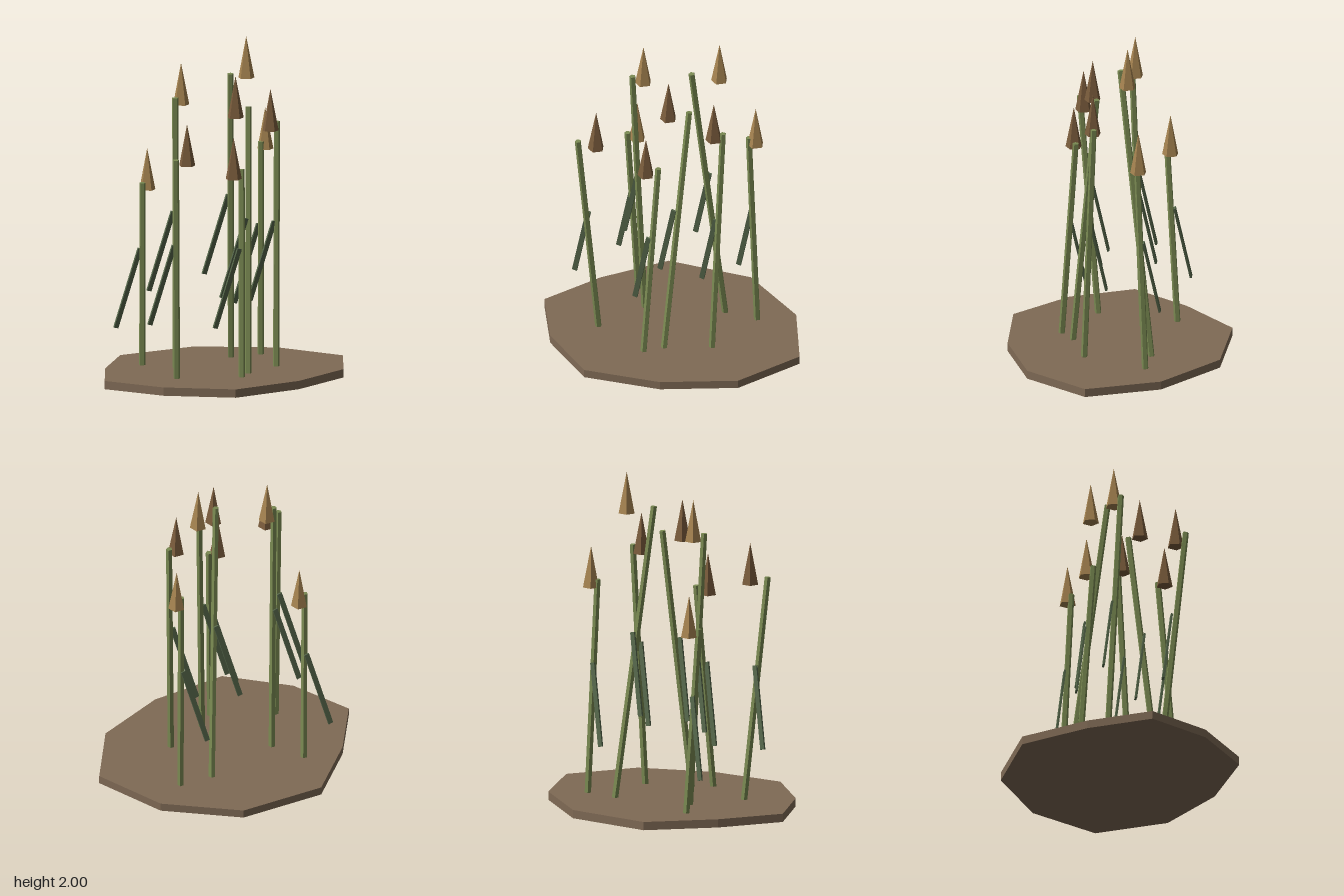
import * as THREE from 'three';

const flat = (name, color) => {
  const m = new THREE.MeshStandardMaterial({ color, flatShading: true });
  m.name = name;
  return m;
};

export function createModel() {
  const earth = flat('earth brown', 0x7f6a55);
  const stemGreen = flat('stem green', 0x7a8a52);
  const leafGreen = flat('leaf green', 0x55664a);
  const tan = flat('tan seed', 0xa58350);
  const brown = flat('brown seed', 0x7a5c3c);

  const model = new THREE.Group();
  model.name = 'reedPatch';
  const add = (parent, geometry, material, name) => {
    const mesh = new THREE.Mesh(geometry, material);
    mesh.name = name;
    parent.add(mesh);
    return mesh;
  };

  // Irregular ten-sided slab of ground, outline as x, z
  const outline = [
    [-0.82, 0.03], [-0.63, 0.39], [-0.295, 0.665], [0.17, 0.615], [0.59, 0.42],
    [0.82, 0.03], [0.62, -0.39], [0.21, -0.67], [-0.31, -0.65], [-0.61, -0.32],
  ];
  const shape = new THREE.Shape(outline.map(([x, z]) => new THREE.Vector2(x, -z)));
  const slab = new THREE.ExtrudeGeometry(shape, { depth: 0.05, bevelEnabled: false });
  slab.rotateX(-Math.PI / 2);
  add(model, slab, earth, 'ground');

  // Each reed: stem base x, z; stem top x, y, z; seed head x, z; head colour
  const reeds = [
    [-0.41, 0.175, -0.49, 1.39, 0.30, -0.39, 0.26, brown],
    [-0.36, -0.31, -0.40, 1.16, -0.24, -0.35, -0.27, tan],
    [-0.24, -0.125, -0.288, 1.69, -0.05, -0.23, -0.08, tan],
    [-0.055, 0.33, 0.0, 1.28, 0.235, -0.07, 0.26, brown],
    [0.04, 0.245, 0.135, 1.62, 0.085, 0.02, 0.13, brown],
    [0.22, -0.26, 0.092, 1.80, -0.05, 0.242, -0.12, tan],
    [0.30, 0.13, 0.343, 1.51, 0.065, 0.29, 0.08, brown],
    [0.425, -0.26, 0.395, 1.34, -0.205, 0.432, -0.22, tan],
  ];
  const up = new THREE.Vector3(0, 1, 0);
  const headGeometry = new THREE.ConeGeometry(0.05, 0.25, 5);
  const leafGeometry = new THREE.BoxGeometry(0.03, 0.5, 0.012);

  for (const [bx, bz, tx, ty, tz, hx, hz, headColour] of reeds) {
    const reed = new THREE.Group();
    reed.name = 'reed';
    model.add(reed);

    // Leaning five-sided stem
    const base = new THREE.Vector3(bx, 0.04, bz);
    const top = new THREE.Vector3(tx, ty, tz);
    const along = top.clone().sub(base);
    const stem = add(reed, new THREE.CylinderGeometry(0.019, 0.02, along.length(), 5), stemGreen, 'stem');
    stem.position.copy(base).lerp(top, 0.5);
    stem.quaternion.setFromUnitVectors(up, along.normalize());

    // Narrow leaf hanging down beside the stem
    const y = 0.455 * ty - 0.01;
    const leaf = add(reed, leafGeometry, leafGreen, 'leaf');
    leaf.position.copy(base).lerp(top, (y - 0.04) / (ty - 0.04));
    leaf.position.x -= 0.072;
    leaf.position.z -= 0.046;
    leaf.rotation.set(0.16, 0, -0.245);

    // Upright pointed seed head
    const head = add(reed, headGeometry, headColour, 'seedHead');
    head.position.set(hx, ty + 0.075, hz);
  }
  return model;
}
